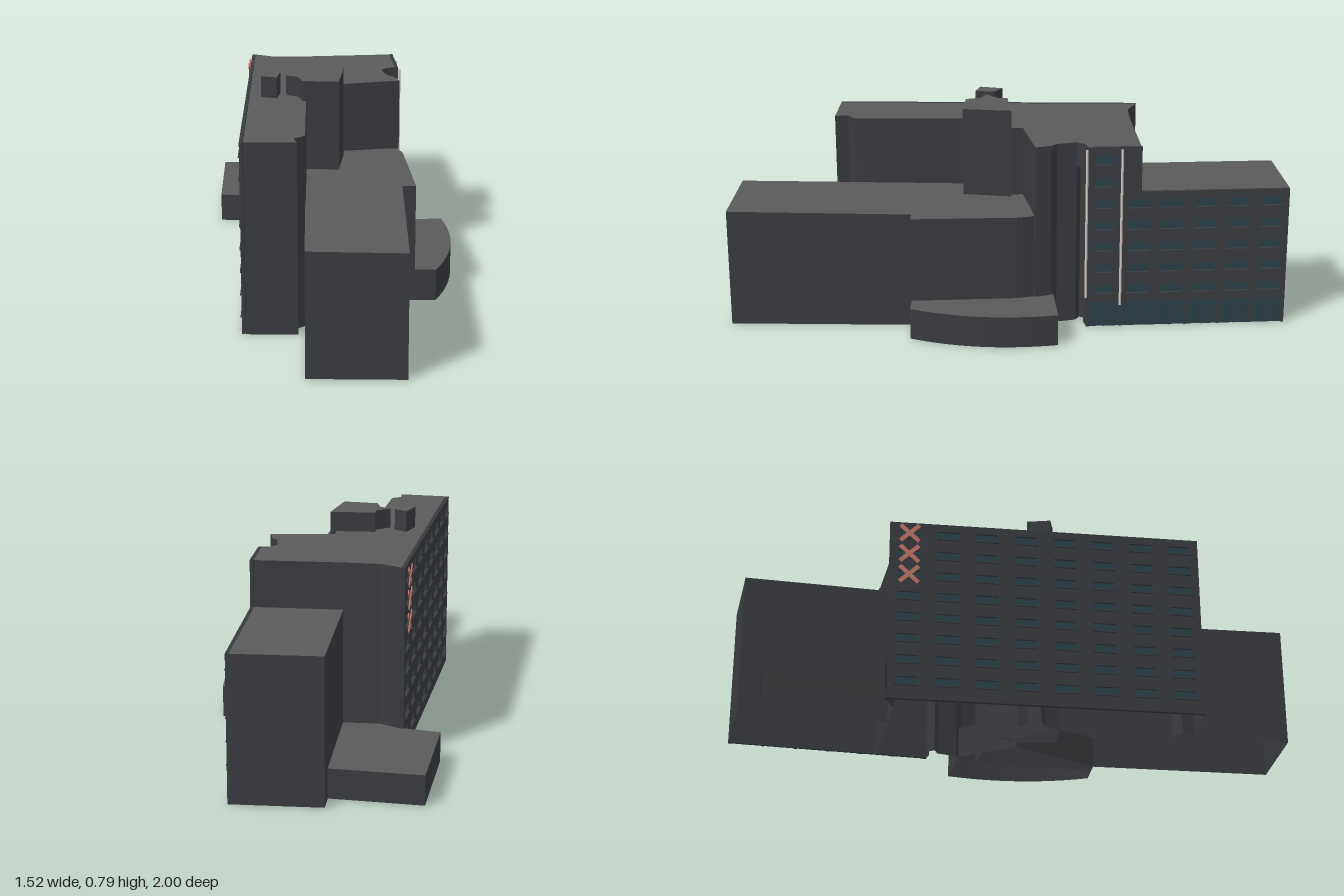
import * as THREE from 'three';

const mat = (color, side = THREE.FrontSide) => new THREE.MeshStandardMaterial({ color, side, flatShading: true });
const wall = mat(0x3a3b3f, THREE.DoubleSide), roof = mat(0x5a5a5a, THREE.DoubleSide);
const glass = mat(0x2a4048), pale = mat(0xd0c8c0), red = mat(0xc07468);

// Upright shell from a plan outline of [x, z] corners: walls and roof, open underneath
function block(name, plan, y0, y1) {
  const shape = new THREE.Shape(plan.map(([x, z]) => new THREE.Vector2(x, -z)));
  const solid = new THREE.ExtrudeGeometry(shape, { depth: y1 - y0, bevelEnabled: false });
  solid.rotateX(-Math.PI / 2).translate(0, y0, 0);
  const lid = solid.groups[0].count / 2;
  const geo = new THREE.BufferGeometry();
  geo.setAttribute('position', new THREE.BufferAttribute(solid.attributes.position.array.slice(lid * 3), 3));
  geo.addGroup(0, lid, 0);
  geo.addGroup(lid, solid.groups[1].count, 1);
  geo.computeVertexNormals();
  const mesh = new THREE.Mesh(geo, [roof, wall]);
  mesh.name = name;
  return mesh;
}

function box(name, w, h, d, x, y, z, material) {
  const mesh = new THREE.Mesh(new THREE.BoxGeometry(w, h, d), material);
  mesh.position.set(x, y, z);
  mesh.name = name;
  return mesh;
}

const SKIN = 0.012;

// Group whose x axis runs from a to b in plan, with z pointing outwards
function along(name, a, b) {
  const group = new THREE.Group();
  group.name = name;
  group.position.set(a[0], 0, a[1]);
  group.rotation.y = Math.atan2(a[1] - b[1], b[0] - a[0]);
  group.userData.length = Math.hypot(b[0] - a[0], b[1] - a[1]);
  return group;
}

// Wall skin with a grid of recessed windows, each with a glass pane and sill
function facade(name, a, b, y0, y1, columns, rows, w = 0.08, h = 0.034) {
  const group = along(name, a, b), len = group.userData.length;
  const shape = new THREE.Shape([[0, y0], [len, y0], [len, y1], [0, y1]].map((p) => new THREE.Vector2(...p)));
  for (let c = 0; c < columns; c++) {
    const x = (c + 0.5) * len / columns;
    for (const y of rows) {
      const l = x - w / 2, r = x + w / 2, d = y - h / 2, u = y + h / 2;
      shape.holes.push(new THREE.Path([[l, d], [l, u], [r, u], [r, d]].map((p) => new THREE.Vector2(...p))));
      group.add(box('windowPane', w, h, 0.004, x, y, -SKIN + 0.002, glass));
      group.add(box('windowSill', w + 0.008, 0.004, 0.012, x, d, 0, wall));
    }
  }
  const geo = new THREE.ExtrudeGeometry(shape, { depth: SKIN, bevelEnabled: false });
  const skin = new THREE.Mesh(geo.translate(0, 0, -SKIN), wall);
  skin.name = 'wallSkin';
  group.add(skin);
  return group;
}

export function createModel() {
  const model = new THREE.Group();
  model.name = 'building';
  const rows = (n, first) => Array.from({ length: n }, (_, i) => first + i * 0.085);

  // Main slab with a notch and a deeper recess beside the entrance
  model.add(block('mainSlab', [
    [0.02, -0.557], [0.06, -0.48], [0.17, -0.4], [0.44, -0.222], [0.33, -0.057], [0.3, -0.07],
    [0.28, -0.1], [0.25, -0.09], [0.265, -0.06], [0.235, 0.01], [0.24, 0.04], [0.22, 0.1], [0, -0.01],
    [-0.03, 0.04], [-0.2, 0.06], [-0.23, 0.1], [-0.49, 0.43], [-0.54, 0.43], [-0.56, 0.475], [-0.702, 0.357],
  ], 0, 0.712));
  model.add(block('recessLintel', [[0.3, -0.07], [0.28, -0.1], [0.25, -0.09], [0.265, -0.06]], 0.62, 0.712));

  // Side wing and low annex
  model.add(block('sideWing', [[0.48, -0.86], [0.75, -0.687], [0.44, -0.222], [0.17, -0.4]], 0, 0.537));
  model.add(block('lowAnnex', [
    [0.17, -1], [0.435, -0.79], [0.175, -0.405], [0.06, -0.48], [0.02, -0.55], [-0.09, -0.66],
  ], 0, 0.11));

  // Front wing, its roof falling slightly towards the entrance
  const frontWing = block('frontWing', [
    [-0.765, 0.78], [-0.5, 1], [-0.07, 0.46], [-0.03, 0.49], [0.19, 0.16], [0.212, 0.1],
    [0, -0.02], [-0.2, 0.05], [-0.53, 0.48],
  ], 0, 0.456);
  const pos = frontWing.geometry.attributes.position;
  for (let i = 0; i < pos.count; i++) {
    if (pos.getY(i) > 0.4) pos.setY(i, 0.456 - 0.014 * (pos.getX(i) + 0.765));
  }
  model.add(frontWing);

  // Curved podium
  const arc = new THREE.QuadraticBezierCurve(
    new THREE.Vector2(0.03, 0.54), new THREE.Vector2(0.28, 0.41), new THREE.Vector2(0.41, 0.14));
  model.add(block('curvedPodium', [
    [-0.07, 0.46], ...arc.getPoints(12).map((p) => [p.x, p.y]), [0.235, 0.025], [0, 0.1],
  ], 0, 0.12));

  // Stair tower and roof housing
  model.add(block('stairTower', [
    [-0.15, -0.05], [-0.005, 0.04], [-0.135, 0.173], [-0.235, 0.085], [-0.215, 0.03], [-0.235, -0.015], [-0.17, -0.02],
  ], 0, 0.787));
  model.add(block('roofHousing', [[-0.325, -0.05], [-0.255, -0.105], [-0.235, -0.05], [-0.29, 0]], 0.7, 0.792));

  // Windowed faces
  const start = [0.34, -0.05], mid = [0.413, -0.157], corner = [0.453, -0.217], end = [0.76, -0.68];
  model.add(facade('slabEndFacade', start, mid, 0.1, 0.712, 1, rows(7, 0.15), 0.07));
  model.add(facade('slabCornerStrip', mid, corner, 0.537, 0.712, 0, []));
  model.add(facade('sideWingFacade', mid, end, 0.1, 0.537, 5, rows(5, 0.15)));
  const back = facade('backFacade', [0.01, -0.565], [-0.713, 0.348], 0, 0.712, 8, rows(8, 0.07));
  model.add(back);

  // Crossed bars over the three top end windows
  for (const y of rows(3, 0.495)) {
    for (const s of [-1, 1]) {
      const bar = box('crossBar', 0.095, 0.016, 0.004, 0.073, y, 0.008 + s * 0.001, red);
      bar.rotation.z = s * 0.75;
      back.add(bar);
    }
  }

  // Ground floor glazing with mullions
  const shop = along('groundGlazing', start, end), len = shop.userData.length;
  shop.add(box('glazing', len, 0.1, 0.008, len / 2, 0.05, -0.008, glass));
  for (let i = 0; i <= 12; i++) {
    const w = i % 2 ? 0.004 : 0.012;
    shop.add(box('mullion', w, 0.1, SKIN, 0.006 + i * (len - 0.012) / 12, 0.05, -SKIN / 2, wall));
  }
  model.add(shop);

  // Pale vertical pipes
  for (const [x, z, y0] of [[0.343, -0.045, 0.12], [0.417, -0.152, 0.09]]) {
    const pipe = new THREE.Mesh(new THREE.CylinderGeometry(0.005, 0.005, 0.705 - y0, 6), pale);
    pipe.position.set(x, (0.705 + y0) / 2, z);
    pipe.name = 'verticalPipe';
    model.add(pipe);
  }
  return model;
}
